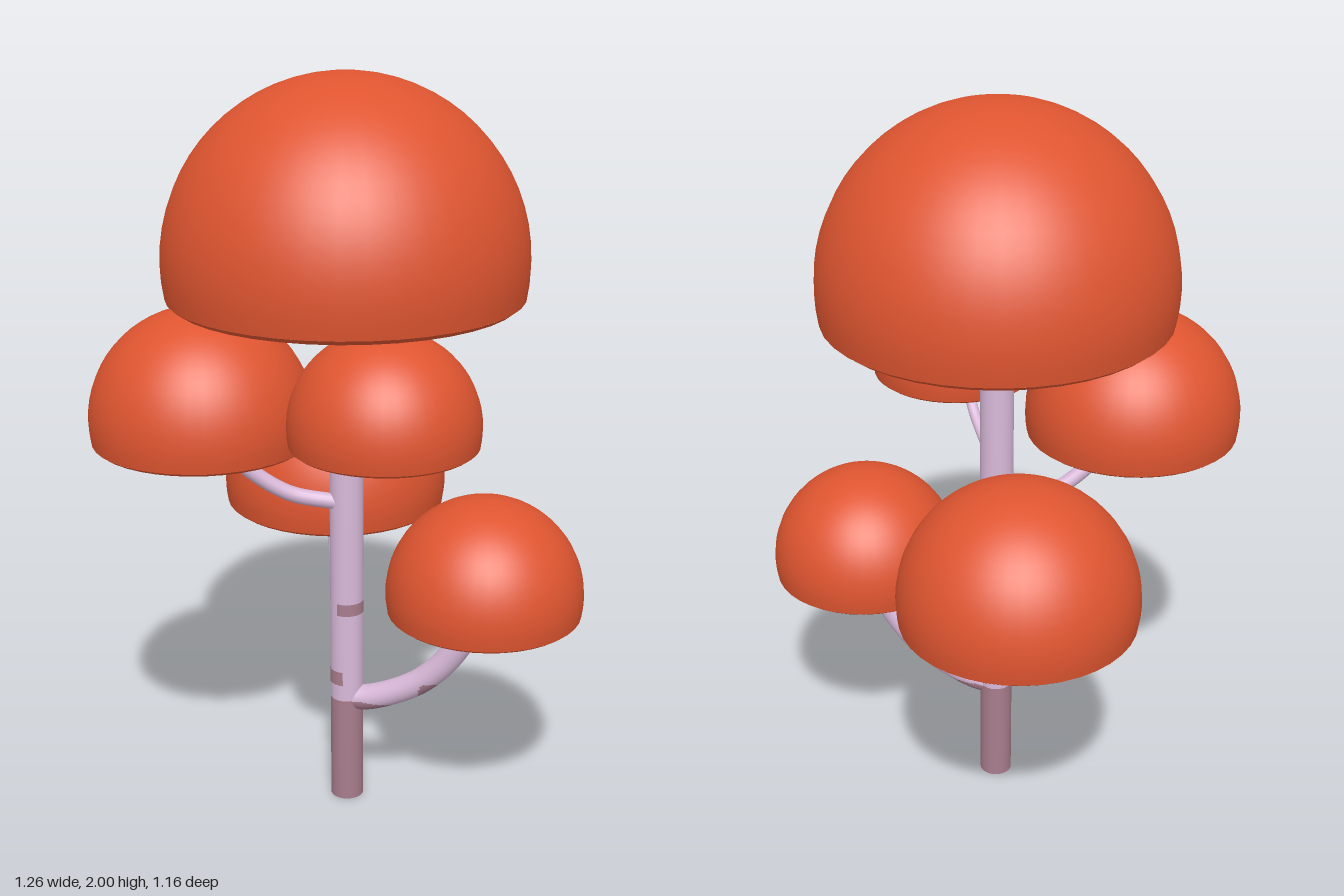
import * as THREE from 'three';

const orange = new THREE.MeshStandardMaterial({ color: 0xdf5530 });
orange.name = 'orange foliage';
const lilac = new THREE.MeshStandardMaterial({ color: 0xd9b9d9 });
lilac.name = 'lilac bark';
const mauve = new THREE.MeshStandardMaterial({ color: 0xa87c8c });
mauve.name = 'mauve bark';

const TRUNK = { x: -0.015, z: 0.068, r: 0.045, top: 1.56, split: 0.305 };

function addMesh(parent, name, geometry, material) {
  const mesh = new THREE.Mesh(geometry, material);
  mesh.name = name;
  parent.add(mesh);
  return mesh;
}

// Domed crown: truncated sphere, narrow bevelled rim, shallow hollow underside
function crown(name, x, bottom, z, r) {
  const group = new THREE.Group();
  group.name = name;
  group.position.set(x, bottom + 0.218 * r, z);
  const lathe = (pts) => new THREE.LatheGeometry(pts.map(([a, b]) => new THREE.Vector2(a * r, b * r)), 40);

  const dome = [];
  const start = Math.asin(-0.19);
  for (let i = 0; i <= 18; i++) {
    const a = start + (Math.PI / 2 - start) * (i / 18);
    dome.push([Math.max(0, Math.cos(a)), Math.sin(a)]);
  }
  const hollow = [];
  for (let i = 0; i <= 8; i++) {
    const t = i / 8;
    hollow.push([0.945 * t, -0.218 + 0.19 * (1 - t * t)]);
  }
  addMesh(group, 'dome', lathe(dome), orange);
  addMesh(group, 'rim', lathe([[0.945, -0.218], [0.982, -0.19]]), orange);
  addMesh(group, 'underside', lathe(hollow), orange);
  return group;
}

// Curved branch through a few points; faces passing the test become mauve
function branch(name, points, radius, isMauve) {
  const curve = new THREE.CatmullRomCurve3(points.map((p) => new THREE.Vector3(...p)));
  const geo = new THREE.TubeGeometry(curve, isMauve ? 80 : 24, radius, isMauve ? 32 : 16);
  if (!isMauve) {
    const mesh = new THREE.Mesh(geo, lilac);
    mesh.name = name;
    return mesh;
  }
  const pos = geo.attributes.position;
  const sets = [[], []];
  const center = new THREE.Vector3();
  const v = new THREE.Vector3();
  for (let i = 0; i < geo.index.count; i += 3) {
    const tri = [0, 1, 2].map((k) => geo.index.getX(i + k));
    center.set(0, 0, 0);
    tri.forEach((k) => center.add(v.fromBufferAttribute(pos, k)));
    center.divideScalar(3);
    sets[isMauve(center) ? 1 : 0].push(...tri);
  }
  geo.setIndex([...sets[0], ...sets[1]]);
  geo.clearGroups();
  geo.addGroup(0, sets[0].length, 0);
  geo.addGroup(sets[0].length, sets[1].length, 1);
  const mesh = new THREE.Mesh(geo, [lilac, mauve]);
  mesh.name = name;
  return mesh;
}

export function createModel() {
  const tree = new THREE.Group();
  tree.name = 'tree';

  // Trunk in two colours
  const section = (name, y0, y1, material) => {
    const geo = new THREE.CylinderGeometry(TRUNK.r, TRUNK.r, y1 - y0, 24);
    addMesh(tree, name, geo, material).position.set(TRUNK.x, (y0 + y1) / 2, TRUNK.z);
  };
  section('trunkBase', 0, TRUNK.split, mauve);
  section('trunk', TRUNK.split, TRUNK.top, lilac);

  // Bark patches: thin curved plates [y, height, start angle, sweep]
  [
    [0.372, 0.04, -1.5, 1.6],
    [0.578, 0.034, -0.25, 3.2],
    [1.15, 0.016, 1.4, 0.35],
  ].forEach(([y, h, from, sweep]) => {
    const r = TRUNK.r + 0.001;
    const geo = new THREE.CylinderGeometry(r, r, h, 16, 1, true, from, sweep);
    addMesh(tree, 'barkPatch', geo, mauve).position.set(TRUNK.x, y, TRUNK.z);
  });

  // Branches
  const spot = new THREE.Vector3(0.225, 0.368, 0.075);
  tree.add(
    branch('lowBranch',
      [[-0.01, 0.3, 0.068], [0.06, 0.312, 0.068], [0.2, 0.385, 0.068], [0.3, 0.5, 0.068], [0.352, 0.64, 0.068], [0.36, 0.7, 0.068]],
      0.035, (p) => p.y < TRUNK.split || p.distanceTo(spot) < 0.034),
    branch('backBranch',
      [[-0.02, 0.515, 0.05], [-0.085, 0.55, -0.07], [-0.13, 0.63, -0.175], [-0.158, 0.75, -0.245], [-0.165, 0.84, -0.26]], 0.027),
    branch('rightBranch',
      [[-0.03, 0.88, 0.085], [-0.15, 0.91, 0.14], [-0.25, 0.99, 0.195], [-0.305, 1.07, 0.235], [-0.33, 1.15, 0.245]], 0.021),
    branch('frontBranch',
      [[-0.005, 0.995, 0.09], [0.05, 1.012, 0.18], [0.105, 1.06, 0.255], [0.148, 1.135, 0.315], [0.165, 1.21, 0.335]], 0.015),
  );

  // Crowns
  tree.add(
    crown('topCrown', -0.015, 1.43, 0.068, 0.468),
    crown('lowCrown', 0.37, 0.615, 0.068, 0.26),
    crown('backCrown', -0.172, 0.748, -0.267, 0.315),
    crown('rightCrown', -0.343, 1.07, 0.25, 0.29),
    crown('frontCrown', 0.185, 1.145, 0.345, 0.237),
  );
  return tree;
}
